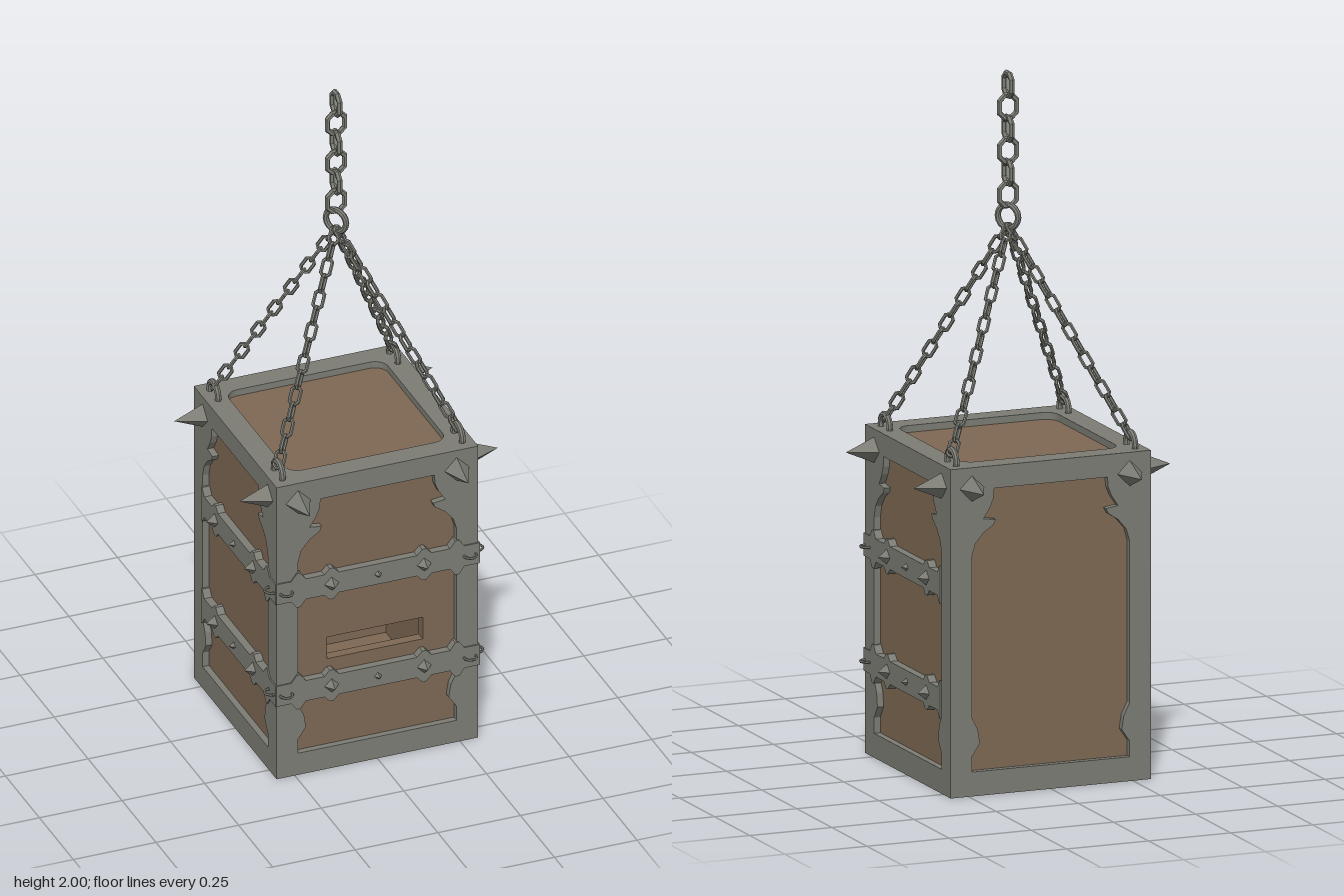
import * as THREE from 'three';

const metal = new THREE.MeshStandardMaterial({ color: 0x7c7c75, flatShading: true });
const wood = new THREE.MeshStandardMaterial({ color: 0x7d6853, flatShading: true });
const HALF = 0.305, HEIGHT = 0.945, SKIN = 0.025;

function add(parent, name, geometry, material, x = 0, y = 0, z = 0) {
  const mesh = new THREE.Mesh(geometry, material);
  mesh.name = name;
  mesh.position.set(x, y, z);
  parent.add(mesh);
  return mesh;
}

function rect(x0, y0, x1, y1) {
  return [[x0, y0], [x1, y0], [x1, y1], [x0, y1]].map(p => new THREE.Vector2(...p));
}

function extrude(outline, depth, hole) {
  const shape = new THREE.Shape(outline);
  if (hole) shape.holes.push(new THREE.Path(hole));
  return new THREE.ExtrudeGeometry(shape, { depth, bevelEnabled: false, curveSegments: 6 });
}

// Ornamental window: right half from bottom to top, mirrored to the left
function windowOutline() {
  const half = [[0.24, 0.07], [0.24, 0.115], [0.216, 0.15], [0.222, 0.19], [0.24, 0.225],
    [0.24, 0.69], [0.23, 0.725], [0.205, 0.755], [0.175, 0.775], [0.168, 0.79],
    [0.205, 0.795], [0.185, 0.825], [0.175, 0.85], [0.172, 0.88]];
  const left = half.map(([x, y]) => [-x, y]).reverse();
  return [...half, ...left].map(p => new THREE.Vector2(...p));
}

function roundedSquare(h, r) {
  const p = new THREE.Path();
  p.absarc(h - r, h - r, r, 0, Math.PI / 2);
  p.absarc(r - h, h - r, r, Math.PI / 2, Math.PI);
  p.absarc(r - h, r - h, r, Math.PI, Math.PI * 1.5);
  p.absarc(h - r, r - h, r, Math.PI * 1.5, Math.PI * 2);
  return p.getPoints(6).slice(0, -1);
}

// Four-sided spike pointing outward along local z
function spike(parent, name, x, y, z, radius, length) {
  const g = new THREE.ConeGeometry(radius, length, 4).rotateX(Math.PI / 2);
  add(parent, name, g, metal, x, y, z + length / 2);
}

// Strap outline with pointed flares along both edges
function strapOutline(x0, x1) {
  const top = [[x0, 0.033]];
  for (const c of [-0.24, -0.14, 0.14, 0.24]) {
    const tall = Math.abs(c) > 0.2 ? 0.055 : 0.05;
    if (c - 0.022 > x0) top.push([c - 0.022, 0.033]);
    top.push([Math.max(c - 0.006, x0), tall], [Math.min(c + 0.006, x1), tall]);
    if (c + 0.022 < x1) top.push([c + 0.022, 0.033]);
  }
  // Short ends finish in a tall cross bar
  if (x0 > -0.25) top.shift();
  if (x1 > 0.25) top.push([x1, 0.033]);
  const bottom = top.map(([x, y]) => [x, -y]).reverse();
  return [...top, ...bottom].map(p => new THREE.Vector2(...p)).reverse();
}

function strap(face, y, x0, x1) {
  add(face, 'strap', extrude(strapOutline(x0, x1), 0.026), metal, 0, y, 0.283);
  for (const x of [-0.14, 0, 0.14]) {
    spike(face, 'stud', x, y, 0.306, x ? 0.024 : 0.013, x ? 0.03 : 0.02);
  }
  // Small rings join the straps at the front corners
  for (const x of [x0, x1]) {
    if (Math.abs(x) < 0.3) continue;
    const ring = new THREE.TorusGeometry(0.018, 0.004, 6, 12).rotateX(Math.PI / 2);
    add(face, 'cornerRing', ring, metal, Math.sign(x) * 0.278, y, 0.311);
  }
}

// Chamfered chain link, long along y and flat in the xy plane
function linkGeometry(radius, wire, stretch) {
  const g = new THREE.TorusGeometry(radius, wire, 6, 8).rotateZ(Math.PI / 8);
  const p = g.attributes.position;
  for (let i = 0; i < p.count; i++) p.setY(i, p.getY(i) + Math.sign(p.getY(i)) * stretch);
  g.computeVertexNormals();
  return g;
}

function chain(parent, name, from, to, count, geometry, turn) {
  const group = new THREE.Group();
  group.name = name;
  const dir = to.clone().sub(from).normalize();
  const align = new THREE.Quaternion().setFromUnitVectors(new THREE.Vector3(0, 1, 0), dir);
  const yAxis = new THREE.Vector3(0, 1, 0);
  for (let i = 0; i < count; i++) {
    const link = add(group, 'link', geometry, metal);
    link.position.lerpVectors(from, to, i / (count - 1));
    const roll = new THREE.Quaternion().setFromAxisAngle(yAxis, turn + (i % 2) * Math.PI / 2);
    link.quaternion.copy(align).multiply(roll);
  }
  parent.add(group);
}

export function createModel() {
  const model = new THREE.Group();
  model.name = 'hangingCage';

  // Four sides: metal frame, wooden panel, straps and corner spikes
  ['front', 'left', 'back', 'right'].forEach((side, i) => {
    const face = new THREE.Group();
    face.name = side + 'Side';
    face.rotation.y = i * Math.PI / 2;
    model.add(face);
    const w = i % 2 ? HALF - SKIN : HALF;
    add(face, 'frame', extrude(rect(-w, 0, w, HEIGHT), SKIN, windowOutline()), metal, 0, 0, HALF - SKIN);
    const slot = i === 0 ? rect(-0.145, 0.345, 0.145, 0.415) : null;
    const p = i % 2 ? 0.255 : 0.285;
    add(face, 'woodPanel', extrude(rect(-p, 0.02, p, 0.922), 0.03, slot), wood, 0, 0, 0.256);
    for (const x of [-0.24, 0.24]) spike(face, 'cornerSpike', x, 0.885, HALF, 0.037, 0.086);
    if (side !== 'back') {
      const x0 = side === 'right' ? -0.24 : -0.307, x1 = side === 'left' ? 0.24 : 0.307;
      for (const y of [0.27, 0.6]) strap(face, y, x0, x1);
    }
  });

  // Lid and floor
  const inner = HALF - SKIN;
  const square = rect(-inner, -inner, inner, inner);
  const lid = extrude(square, SKIN, roundedSquare(0.24, 0.04)).rotateX(-Math.PI / 2);
  add(model, 'lidFrame', lid, metal, 0, HEIGHT - SKIN, 0);
  const floor = extrude(square, SKIN, rect(-0.245, -0.245, 0.245, 0.245)).rotateX(-Math.PI / 2);
  add(model, 'floorFrame', floor, metal);
  add(model, 'lidPanel', new THREE.BoxGeometry(0.56, 0.03, 0.56), wood, 0, 0.91, 0);
  add(model, 'floorPanel', new THREE.BoxGeometry(0.56, 0.03, 0.56), wood, 0, 0.033, 0);

  // Lid rings and the four slanted chains
  const smallLink = linkGeometry(0.0145, 0.0055, 0.011);
  const eye = new THREE.TorusGeometry(0.032, 0.0095, 8, 16).rotateY(Math.PI / 2);
  for (const sx of [-1, 1]) for (const sz of [-1, 1]) {
    add(model, 'lidRing', eye, metal, sx * 0.272, 0.953, sz * 0.237);
    chain(model, 'slantedChain', new THREE.Vector3(sx * 0.265, 0.987, sz * 0.23),
      new THREE.Vector3(sx * 0.008, 1.537, sz * 0.008), 15, smallLink, sx * sz * Math.PI / 4);
  }

  // Gathering ring and the upright chain
  const ring = new THREE.TorusGeometry(0.034, 0.009, 8, 16);
  add(model, 'gatheringRing', ring, metal, 0, 1.58, 0).rotation.y = -Math.PI * 0.31;
  chain(model, 'uprightChain', new THREE.Vector3(0, 1.643, 0), new THREE.Vector3(0, 1.959, 0),
    6, linkGeometry(0.028, 0.0085, 0.0062), 0);
  return model;
}
